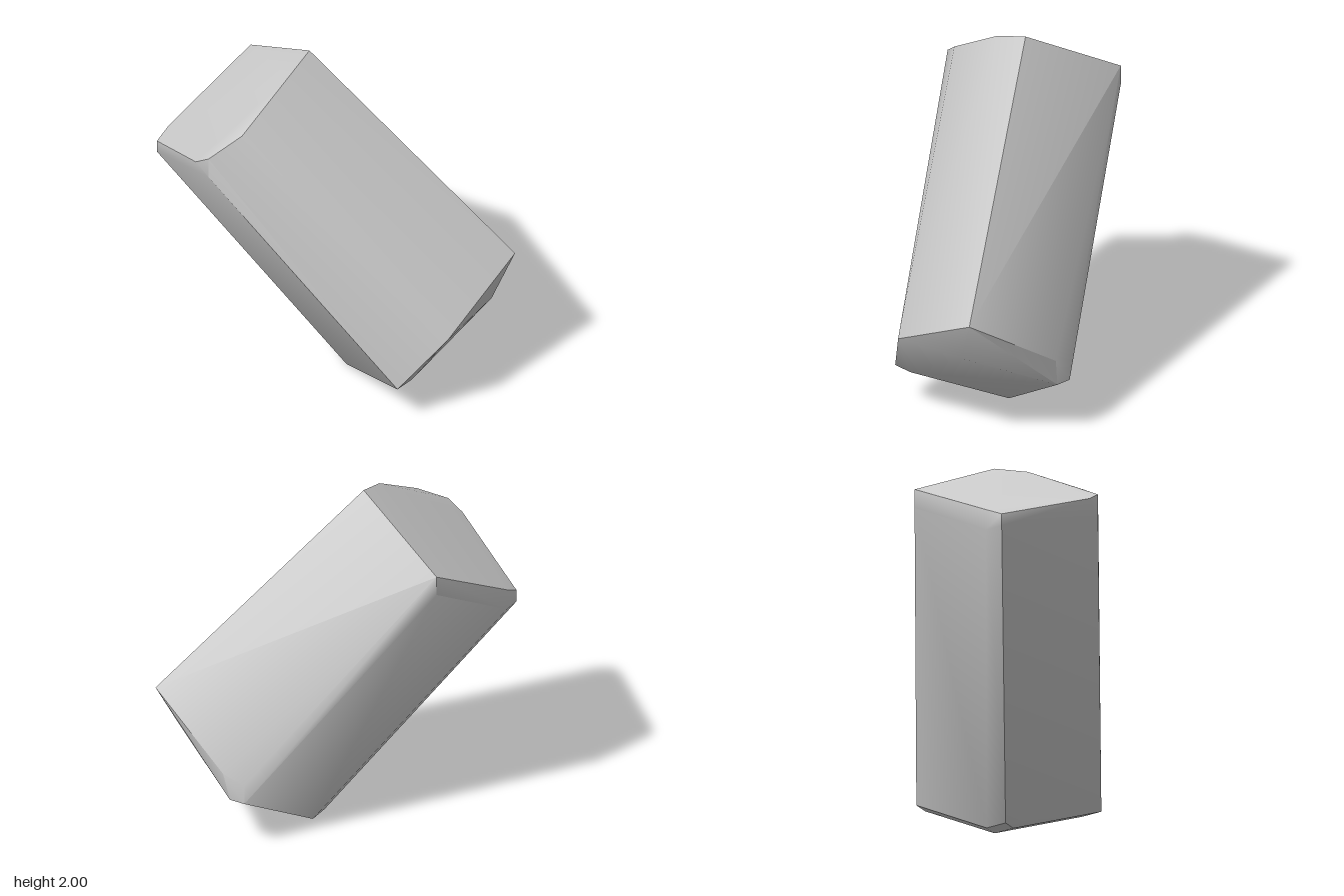
import * as THREE from 'three';
import { ConvexGeometry } from 'three/addons/geometries/ConvexGeometry.js';
import { toCreasedNormals } from 'three/addons/utils/BufferGeometryUtils.js';

// Corner clusters of a leaning block with bevelled edges, [x, y, z]
const upperEnd = [
  [0, 2, -0.14], [-0.2, 1.94, -0.12], [-0.56, 1.74, -0.14],      // front ridge
  [-0.72, 1.63, -0.24], [-0.72, 1.51, -0.24], [-0.72, 1.57, -0.33], // side corner
  [0.16, 1.7, -0.69], [0.16, 1.59, -0.69],                        // opposite corner
  [-0.37, 1.4, -0.815], [-0.47, 1.35, -0.815],                    // back corner
  [-0.37, 1.28, -0.815], [-0.47, 1.28, -0.815],
];
const lowerEnd = [
  [0.58, 0.79, 0.815], [0.45, 0.54, 0.76],                        // front corner
  [0.72, 0.47, 0.31], [0.7, 0.42, 0.19], [0.7, 0.31, 0.19], [0.7, 0.31, 0.28],
  [0.02, 0.52, 0.815], [-0.07, 0.23, 0.64], [-0.19, 0.23, 0.64],  // side corner
  [0.06, 0, 0.07], [0.18, 0, 0.07], [0.18, 0, 0.15], [0.06, 0, 0.15], // foot
];

export function createModel() {
  const group = new THREE.Group();
  group.name = 'leaningBlock';
  const points = [...upperEnd, ...lowerEnd].map((p) => new THREE.Vector3(...p));
  // Soft shading over the bevels, sharp at the main edges
  const geometry = toCreasedNormals(new ConvexGeometry(points), THREE.MathUtils.degToRad(40));
  const block = new THREE.Mesh(geometry, new THREE.MeshStandardMaterial({ color: 0xcccccc }));
  block.name = 'bevelledBlock';
  group.add(block);
  return group;
}
